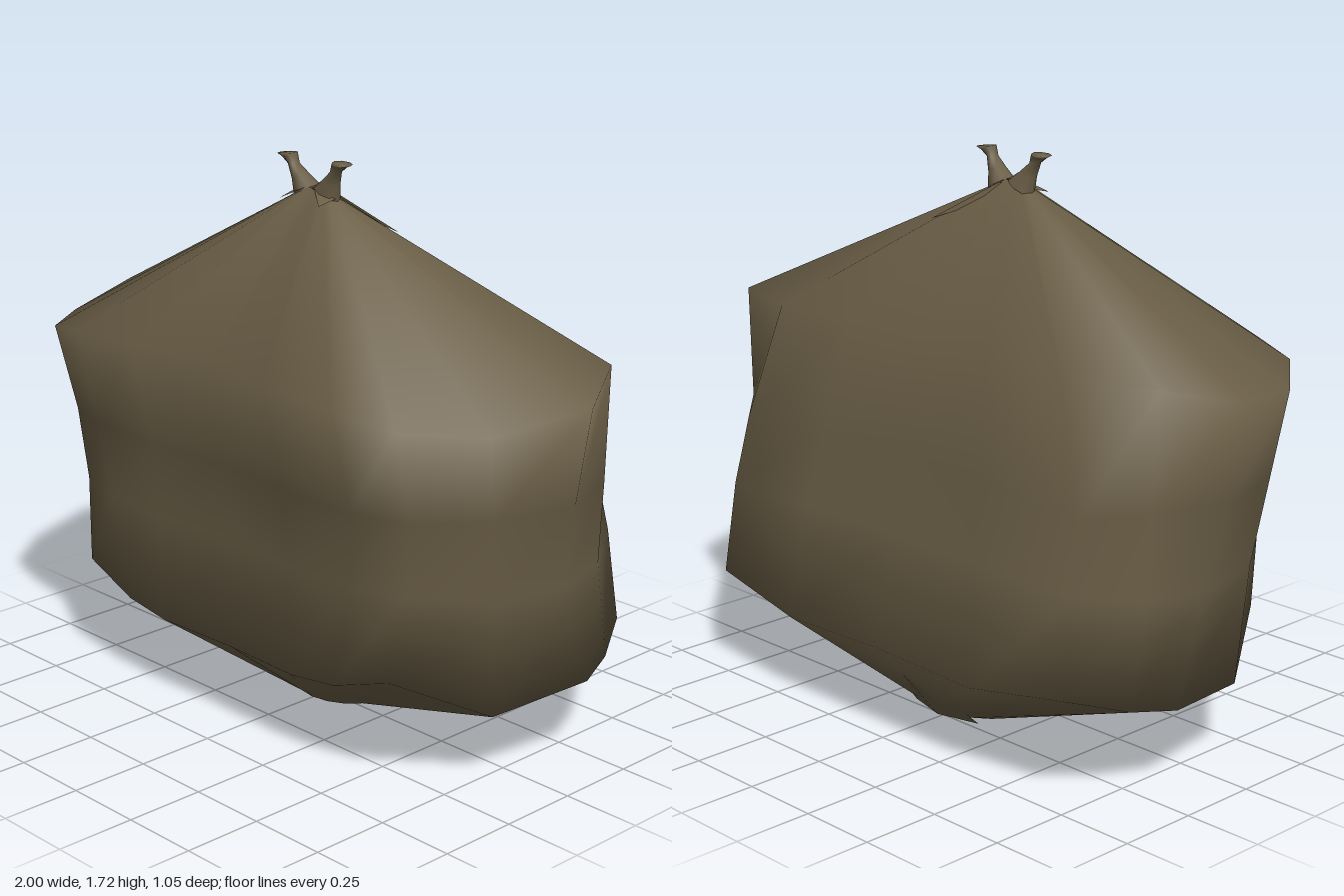
import * as THREE from 'three';

const cloth = new THREE.MeshStandardMaterial({ color: 0x6a5e46, side: THREE.DoubleSide });
cloth.name = 'brown sackcloth';

// Skin a stack of closed rings (arrays of [x, y, z]) with smooth normals and a closed top
function loft(rings, name) {
  const n = rings[0].length, pos = rings.flat(2), index = [];
  for (let i = 0; i < rings.length - 1; i++) {
    for (let j = 0; j < n; j++) {
      const a = i * n + j, b = i * n + (j + 1) % n;
      index.push(a, b, b + n, a, b + n, a + n);
    }
  }
  const top = rings[rings.length - 1], start = (rings.length - 1) * n;
  pos.push(...[0, 1, 2].map(k => top.reduce((s, p) => s + p[k], 0) / n));
  for (let j = 0; j < n; j++) index.push(start + j, start + (j + 1) % n, rings.length * n);
  const geo = new THREE.BufferGeometry();
  geo.setAttribute('position', new THREE.Float32BufferAttribute(pos, 3));
  geo.setIndex(index);
  geo.computeVertexNormals();
  const mesh = new THREE.Mesh(geo, cloth);
  mesh.name = name;
  return mesh;
}

// Complete a half section of [x, y, z], given front to back, by mirroring it
function ring(half) {
  return [...half, ...half.slice(1, -1).reverse().map(([x, y, z]) => [-x, y, z])];
}

// Half of a small ellipse, with as many points as the body sections
function ellipseHalf(rx, rz, cz, height) {
  return Array.from({ length: 10 }, (_, i) => {
    const a = i / 9 * Math.PI;
    const x = i % 9 ? rx * Math.sin(a) : 0, z = cz + rz * Math.cos(a);
    return [x, height(x, z), z];
  });
}

// Horn of twisted cloth: rings of centre x, y, z, radii x and z, tilt
function horn(side) {
  const rows = [
    [0.042, 1.615, 0.04, 0.044, 0.036, 0.5],
    [0.066, 1.655, 0.045, 0.024, 0.028, 0.4],
    [0.09, 1.69, 0.05, 0.015, 0.02, 0],
    [0.106, 1.71, 0.05, 0.025, 0.024, 0.1],
    [0.117, 1.718, 0.05, 0.032, 0.029, 0.1]
  ];
  const rings = rows.map(([cx, cy, cz, rx, rz, tilt]) => Array.from({ length: 8 }, (_, i) => {
    const a = i / 8 * Math.PI * 2, dx = Math.sin(a) * rx;
    return [side * cx + dx, cy - side * dx * tilt, cz + Math.cos(a) * rz];
  }));
  return loft(rings, side > 0 ? 'leftHorn' : 'rightHorn');
}

// Thin cloth triangle
function fold(name, ...points) {
  const geo = new THREE.BufferGeometry();
  geo.setAttribute('position', new THREE.Float32BufferAttribute(points.flat(), 3));
  geo.computeVertexNormals();
  const mesh = new THREE.Mesh(geo, cloth);
  mesh.name = name;
  return mesh;
}

export function createModel() {
  const group = new THREE.Group();
  group.name = 'sack';

  // Body half sections, from the lower rim to the shoulder
  const lower = [[0, 0.28, 0.41], [0.29, 0.28, 0.42], [0.46, 0.3, 0.415], [0.67, 0.37, 0.4],
    [0.83, 0.237, 0.14], [0.9, 0.27, -0.19], [0.85, 0.29, -0.33], [0.76, 0.34, -0.49],
    [0.4, 0.285, -0.52], [0, 0.3, -0.527]];
  const waist = [[0, 0.62, 0.4], [0.29, 0.62, 0.425], [0.53, 0.62, 0.42], [0.71, 0.63, 0.37],
    [0.85, 0.6, 0.17], [0.895, 0.59, -0.08], [0.85, 0.6, -0.28], [0.74, 0.63, -0.455],
    [0.37, 0.64, -0.475], [0, 0.64, -0.44]];
  const chest = [[0, 0.86, 0.42], [0.29, 0.86, 0.45], [0.56, 0.86, 0.445], [0.73, 0.86, 0.39],
    [0.88, 0.86, 0.21], [0.95, 0.86, -0.05], [0.87, 0.86, -0.27], [0.72, 0.84, -0.41],
    [0.34, 0.87, -0.415], [0, 0.87, -0.375]];
  const shoulder = [[0, 1.18, 0.465], [0.29, 1.18, 0.525], [0.56, 1.17, 0.52], [0.74, 1.14, 0.46],
    [0.91, 1.12, 0.25], [1, 1.155, -0.05], [0.88, 1.21, -0.27], [0.6, 1.215, -0.36],
    [0.3, 1.215, -0.35], [0, 1.215, -0.34]];

  // The body is open at the bottom
  group.add(loft([
    ring(ellipseHalf(0.165, 0.165, -0.1, (x, z) => 0.002 + 0.35 * (z + 0.02) ** 2)),
    ring(lower),
    ring(waist),
    ring(chest),
    ring(shoulder),
    ring(ellipseHalf(0.085, 0.025, 0.045, x => 1.635 - 0.4 * x))
  ], 'body'));

  for (const side of [1, -1]) {
    group.add(horn(side));
    // Small pleat in front of the neck
    group.add(fold('neckPleat',
      [side * 0.02, 1.63, 0.07], [side * 0.085, 1.595, 0.115], [side * 0.09, 1.61, 0.05]));
    // Pinched fold running up the back from the opening
    group.add(fold('baseFold',
      [side * 0.14, 0.01, -0.235], [0, 0.012, -0.275], [0, 0.32, -0.53]));
  }

  // Loose strand behind the neck
  group.add(fold('looseStrand', [-0.07, 1.615, 0.05], [0.02, 1.625, 0.01], [0.2, 1.505, -0.1]));
  return group;
}
